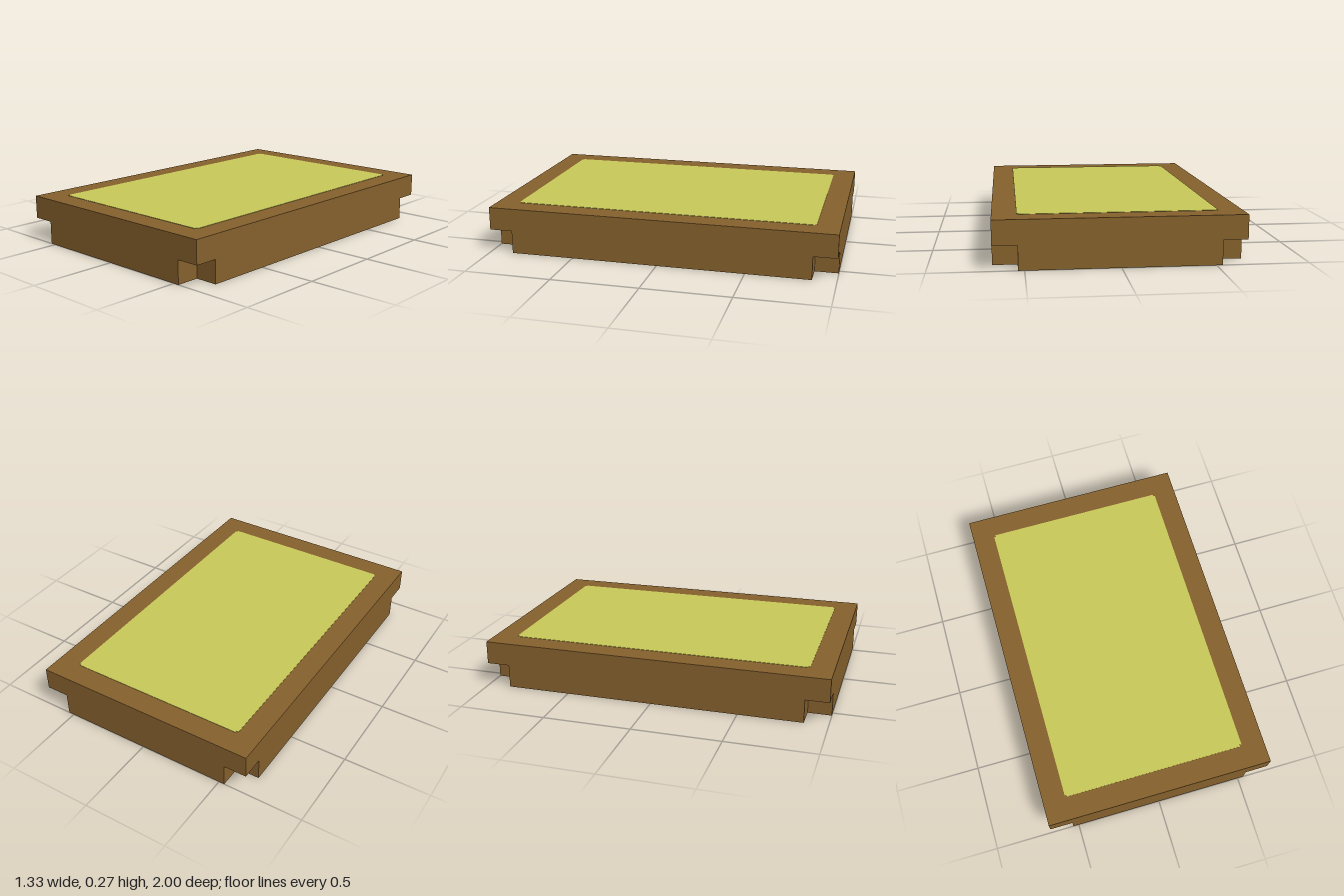
import * as THREE from 'three';

const W = 1.3333, L = 2, H = 0.2667, RIM = 0.1333;

export function createModel() {
  const model = new THREE.Group();
  const wood = new THREE.MeshStandardMaterial({ color: 0x86612d });
  wood.name = 'brownWood';
  const surface = new THREE.MeshStandardMaterial({ color: 0xc9c95a });
  surface.name = 'yellowSurface';

  // Extrude an x/z outline upwards from height y
  function slab(name, points, y, height, material) {
    const shape = new THREE.Shape(points.map(([x, z]) => new THREE.Vector2(x, z)));
    const geometry = new THREE.ExtrudeGeometry(shape, { depth: height, bevelEnabled: false });
    geometry.rotateX(-Math.PI / 2);
    const mesh = new THREE.Mesh(geometry, material);
    mesh.name = name;
    mesh.position.y = y;
    model.add(mesh);
  }

  // Rectangle with a square notch cut from each corner
  function notched(w, l, n) {
    const x = w / 2, z = l / 2;
    return [
      [x, -z + n], [x, z - n], [x - n, z - n], [x - n, z],
      [-x + n, z], [-x + n, z - n], [-x, z - n], [-x, -z + n],
      [-x + n, -z + n], [-x + n, -z], [x - n, -z], [x - n, -z + n],
    ];
  }

  const x = W / 2, z = L / 2;
  // Lower block with open corners, full slab above
  slab('notchedBase', notched(W, L, RIM), 0, H / 2, wood);
  slab('topSlab', [[x, -z], [x, z], [-x, z], [-x, -z]], H / 2, H / 2, wood);
  // Painted panel with tiny stepped corners
  slab('topPanel', notched(W - 2 * RIM + 0.004, L - 2 * RIM + 0.004, 0.011), H - 0.001, 0.003, surface);

  return model;
}
